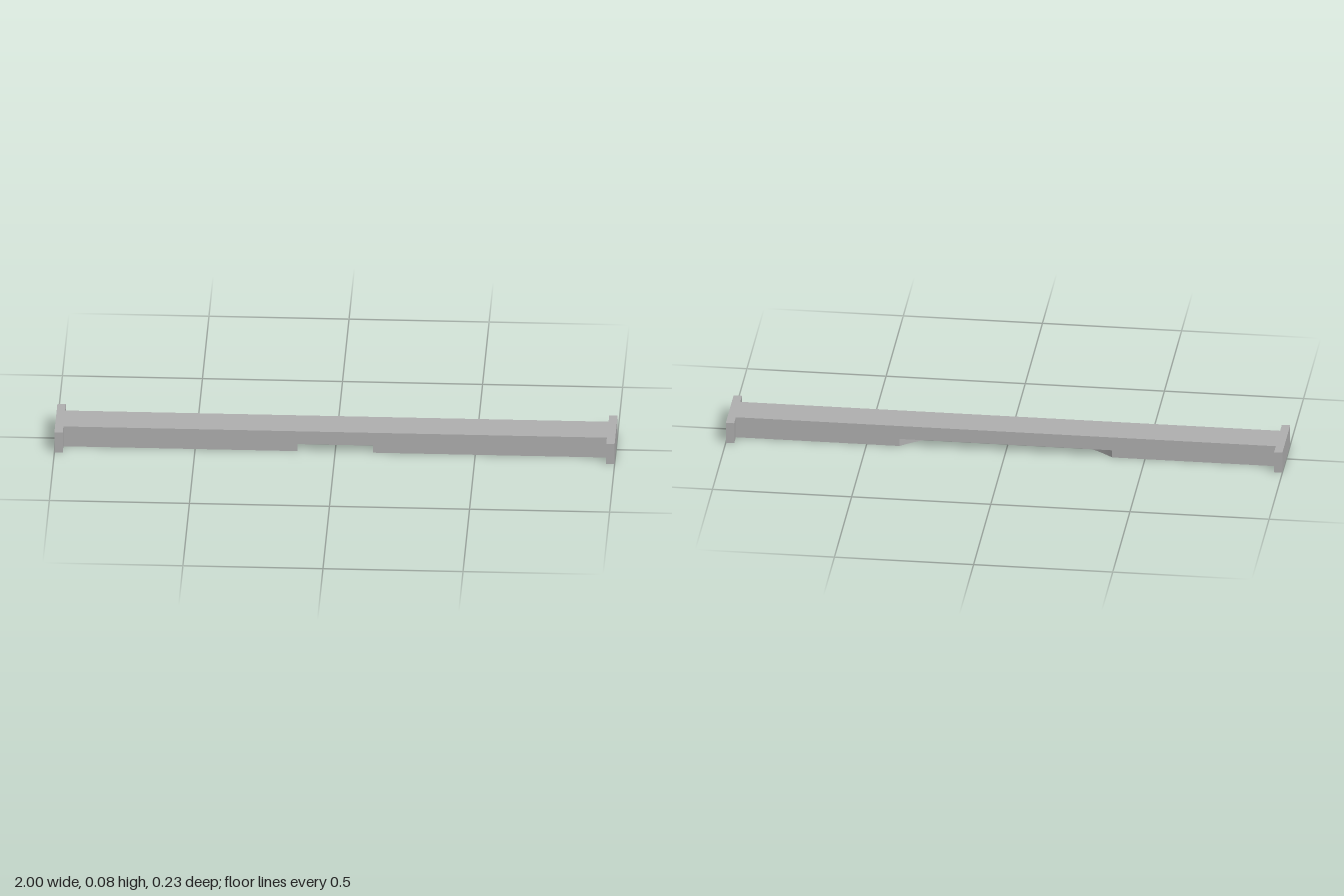
import * as THREE from 'three';

const HEIGHT = 0.079, NOTCH = 0.028;        // overall height, recess depth
const BEAM = 0.064, FLANGE = 0.114;         // half widths
const INNER = 0.97, END = 1;                // flange faces along x
const ARC_Z = -0.499, ARC_R = 0.579;        // circular recess cut from below

// Extrude an outline of [x, z] points upward from y0 to y1
function slab(points, y0, y1) {
  const shape = new THREE.Shape(points.map(([x, z]) => new THREE.Vector2(x, -z)));
  const geometry = new THREE.ExtrudeGeometry(shape, { depth: y1 - y0, bevelEnabled: false });
  return geometry.rotateX(-Math.PI / 2).translate(0, y0, 0);
}

// Outline of one T-shaped end, from the back of the beam round to the front
const endOutline = (side) => [
  [INNER, -BEAM], [INNER, -FLANGE], [END, -FLANGE],
  [END, FLANGE], [INNER, FLANGE], [INNER, BEAM],
].map(([x, z]) => [x * side, z]);

export function createModel() {
  const group = new THREE.Group();
  const grey = new THREE.MeshStandardMaterial({ color: 0xb0b0b0 });
  grey.name = 'grey';

  const add = (name, geometry) => {
    const mesh = new THREE.Mesh(geometry, grey);
    mesh.name = name;
    group.add(mesh);
  };

  // Continuous upper beam with both end flanges
  add('upperBeam', slab([...endOutline(1), ...endOutline(-1).reverse()], NOTCH, HEIGHT));

  // Lower halves, separated by the curved recess
  const arc = [];
  for (let i = 0; i <= 32; i++) {
    const z = BEAM - (2 * BEAM * i) / 32;
    arc.push([Math.sqrt(ARC_R ** 2 - (z - ARC_Z) ** 2), z]);
  }
  for (const side of [1, -1]) {
    const curve = arc.map(([x, z]) => [x * side, z]);
    add(side > 0 ? 'leftLowerBeam' : 'rightLowerBeam',
      slab([...endOutline(side), ...curve], 0, NOTCH));
  }
  return group;
}
